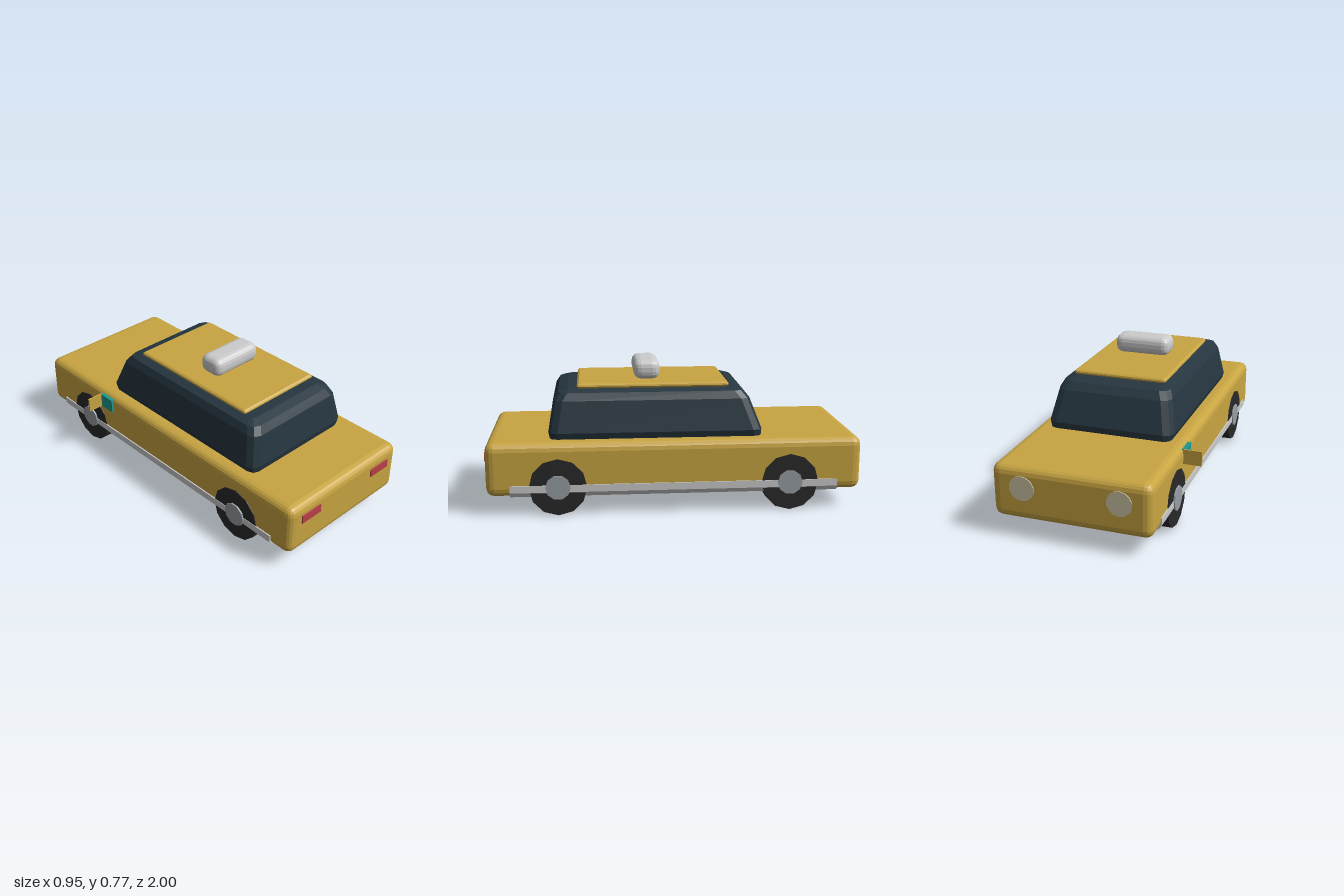
import * as THREE from 'three';
import { RoundedBoxGeometry } from 'three/addons/geometries/RoundedBoxGeometry.js';

const CX = 0.041; // centre line of the car

const paint = (color) => new THREE.MeshStandardMaterial({ color, flatShading: true });

// Loft of rounded rectangles: each layer is [y, halfWidth, zMin, zMax, cornerRadius]
function loftGeometry(layers, arcSteps = 2) {
  const positions = [], index = [];
  const n = 4 * (arcSteps + 1);
  for (const [y, w, z0, z1, r] of layers) {
    const corners = [[w - r, z1 - r], [-w + r, z1 - r], [-w + r, z0 + r], [w - r, z0 + r]];
    corners.forEach(([x, z], c) => {
      for (let i = 0; i <= arcSteps; i++) {
        const a = (c + i / arcSteps) * Math.PI / 2;
        positions.push(x + r * Math.cos(a), y, z + r * Math.sin(a));
      }
    });
  }
  for (let l = 0; l < layers.length - 1; l++) {
    for (let i = 0; i < n; i++) {
      const a = l * n + i, b = l * n + (i + 1) % n;
      index.push(a, a + n, b, b, a + n, b + n);
    }
  }
  // Flat caps
  const top = (layers.length - 1) * n;
  for (let i = 1; i < n - 1; i++) {
    index.push(0, i, i + 1, top, top + i + 1, top + i);
  }
  const geometry = new THREE.BufferGeometry();
  geometry.setAttribute('position', new THREE.Float32BufferAttribute(positions, 3));
  geometry.setIndex(index);
  geometry.computeVertexNormals();
  return geometry;
}

export function createModel() {
  const group = new THREE.Group();
  const gold = paint(0xc8a542), glass = paint(0x263640), rubber = paint(0x292929);
  const steel = paint(0x979ea5), chrome = paint(0xcccccc), red = paint(0xb84048);
  const lens = paint(0xccc6a4), teal = paint(0x1f9a90);

  const add = (name, geometry, material, x, y, z) => {
    const mesh = new THREE.Mesh(geometry, material);
    mesh.name = name;
    mesh.position.set(x, y, z);
    group.add(mesh);
    return mesh;
  };

  // Lower body
  add('body', new RoundedBoxGeometry(0.836, 0.286, 1.985, 2, 0.045), gold, CX, 0.243, -0.002);

  // Cabin glass, steeper at the tail end
  add('cabin', loftGeometry([
    [0.38, 0.336, -0.47, 0.655, 0.04],
    [0.42, 0.349, -0.472, 0.663, 0.05],
    [0.585, 0.316, -0.408, 0.635, 0.05],
    [0.625, 0.296, -0.375, 0.61, 0.05],
    [0.64, 0.25, -0.325, 0.56, 0.02],
  ]), glass, CX, 0, 0);

  // Roof plate
  add('roofPlate', loftGeometry([
    [0.637, 0.247, -0.288, 0.498, 0.008],
    [0.65, 0.259, -0.3, 0.51, 0.012],
    [0.658, 0.257, -0.298, 0.508, 0.012],
    [0.665, 0.247, -0.288, 0.498, 0.008],
  ]), gold, CX, 0, 0);

  // Roof sign
  add('roofSign', new RoundedBoxGeometry(0.315, 0.104, 0.142, 2, 0.04), chrome, 0.042, 0.717, 0.132);

  // Sill running under the whole floor, with chamfered lower edges
  const sill = new THREE.Shape([
    [-0.425, 0.163], [-0.425, 0.125], [-0.405, 0.099], [0.405, 0.099], [0.425, 0.125], [0.425, 0.163],
  ].map(([x, y]) => new THREE.Vector2(x, y)));
  add('sill', new THREE.ExtrudeGeometry(sill, { depth: 1.73, bevelEnabled: false }), chrome, CX, 0, -0.865);

  // Wheels with hubs
  const tyre = new THREE.CylinderGeometry(0.152, 0.152, 0.116, 12).rotateZ(Math.PI / 2);
  const hub = new THREE.CylinderGeometry(0.066, 0.066, 0.12, 10).rotateZ(Math.PI / 2);
  for (const side of [-1, 1]) {
    for (const z of [-0.61, 0.615]) {
      add('tyre', tyre, rubber, CX + side * 0.364, 0.151, z);
      add('hub', hub, steel, CX + side * 0.371, 0.151, z);
    }
    // Lamps at both ends
    add('tailLamp', new THREE.BoxGeometry(0.135, 0.045, 0.03), red, CX + side * 0.267, 0.3, 0.983);
    add('headLamp', new THREE.CylinderGeometry(0.066, 0.066, 0.03, 14).rotateX(Math.PI / 2),
      lens, CX + side * 0.254, 0.275, -0.985);
  }

  // Side mirror: one side only
  add('mirrorMount', new THREE.BoxGeometry(0.02, 0.08, 0.1), teal, -0.378, 0.329, -0.437);
  add('mirrorPlate', new THREE.BoxGeometry(0.1, 0.08, 0.01), gold, -0.425, 0.329, -0.488);

  return group;
}
